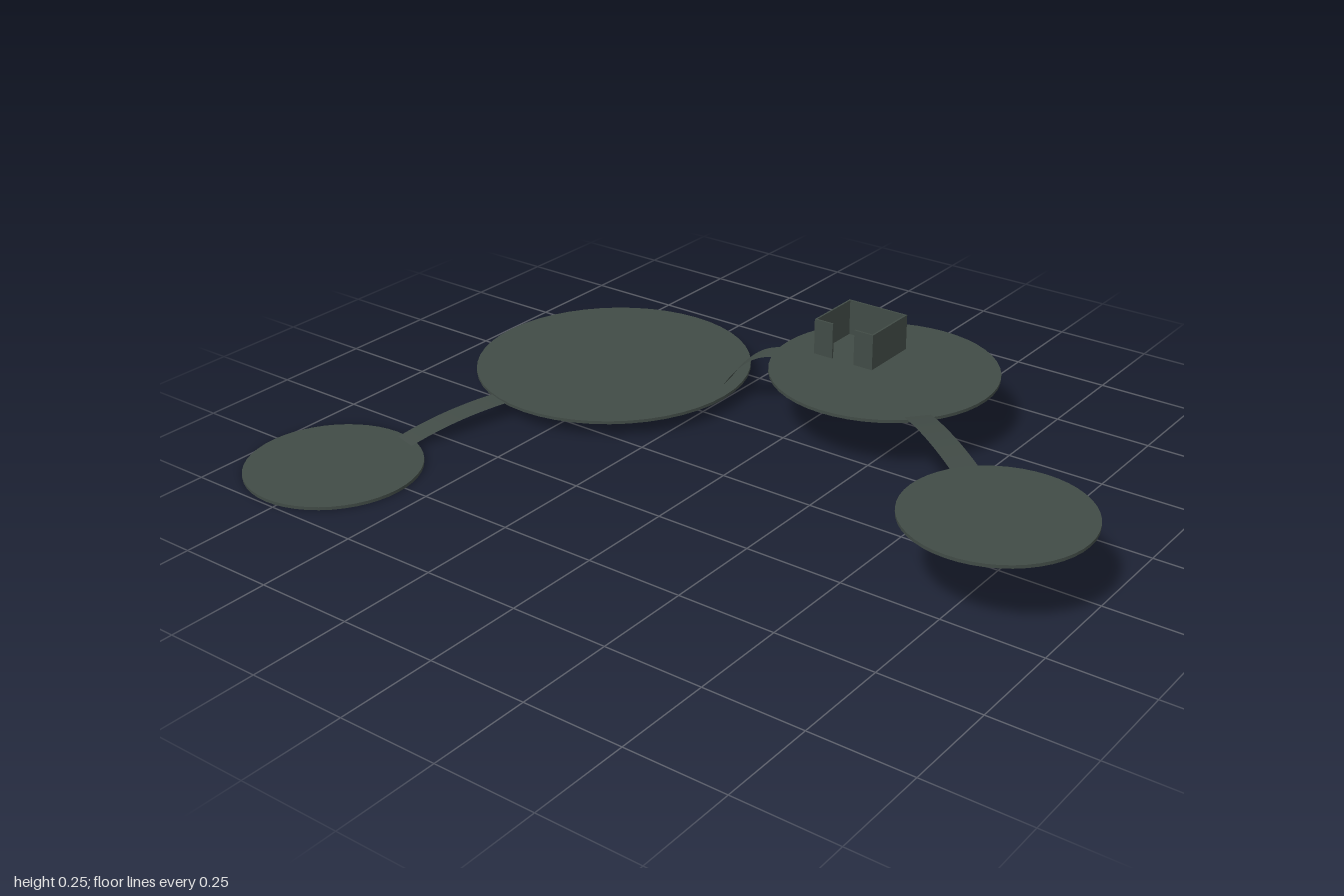
import * as THREE from 'three';

const material = new THREE.MeshStandardMaterial({ color: 0x414b46, side: THREE.DoubleSide });
const THICK = 0.008;

// Round platforms, y is the top surface
const DISCS = {
  lowPlatform: { x: -0.784, y: 0.008, z: 0.524, r: 0.217 },
  mainPlatform: { x: -0.564, y: 0.047, z: -0.278, r: 0.361 },
  upperPlatform: { x: 0.16, y: 0.156, z: -0.457, r: 0.289 },
  topPlatform: { x: 0.784, y: 0.193, z: 0.086, r: 0.217 },
};

function mesh(name, geometry) {
  const m = new THREE.Mesh(geometry, material);
  m.name = name;
  return m;
}

function platform(name, { x, y, z, r }) {
  const m = mesh(name, new THREE.CylinderGeometry(r, r, THICK, 48));
  m.position.set(x, y - THICK / 2, z);
  return m;
}

// Thin curved strip rising from inside the lower rim and levelling out at the higher rim
function ramp(name, low, high, inset) {
  const width = 0.066, steps = 16;
  const dir = new THREE.Vector3(high.x - low.x, 0, high.z - low.z);
  const dist = dir.length();
  dir.normalize();
  const side = new THREE.Vector3(dir.z, 0, -dir.x);
  const from = low.r - inset, to = dist - high.r + 0.015;
  const y0 = low.y - THICK / 2, y1 = high.y - THICK / 2;
  const geo = new THREE.PlaneGeometry(1, 1, 1, steps);
  const pos = geo.attributes.position;
  for (let i = 0; i < pos.count; i++) {
    const t = pos.getY(i) + 0.5;
    const p = new THREE.Vector3(low.x, y0 + (y1 - y0) * (1 - (1 - t) ** 2.2), low.z)
      .addScaledVector(dir, from + (to - from) * t)
      .addScaledVector(side, -pos.getX(i) * width);
    pos.setXYZ(i, p.x, p.y, p.z);
  }
  geo.computeVertexNormals();
  return mesh(name, geo);
}

// Roofless hut with a doorway in the front wall
function hut() {
  const group = new THREE.Group();
  group.name = 'hut';
  const w = 0.173, d = 0.16, h = 0.097, t = 0.005, door = 0.064;
  const wall = (name, sx, sz, x, z) => {
    const m = mesh(name, new THREE.BoxGeometry(sx, h, sz));
    m.position.set(x, h / 2, z);
    group.add(m);
  };
  wall('backWall', w, t, 0, -(d - t) / 2);
  const front = (w - door) / 2;
  for (const [s, label] of [[1, 'left'], [-1, 'right']]) {
    wall(label + 'Wall', t, d - 2 * t, s * (w - t) / 2, 0);
    wall(label + 'FrontWall', front, t, s * (w - front) / 2, (d - t) / 2);
  }
  group.position.set(0.053, 0.153, -0.511);
  return group;
}

export function createModel() {
  const model = new THREE.Group();
  model.name = 'linkedPlatforms';
  for (const [name, disc] of Object.entries(DISCS)) model.add(platform(name, disc));
  const { lowPlatform, mainPlatform, upperPlatform, topPlatform } = DISCS;
  model.add(
    ramp('lowRamp', lowPlatform, mainPlatform, 0.035),
    ramp('middleRamp', mainPlatform, upperPlatform, 0.04),
    ramp('topRamp', upperPlatform, topPlatform, 0.035),
    hut(),
  );
  return model;
}
